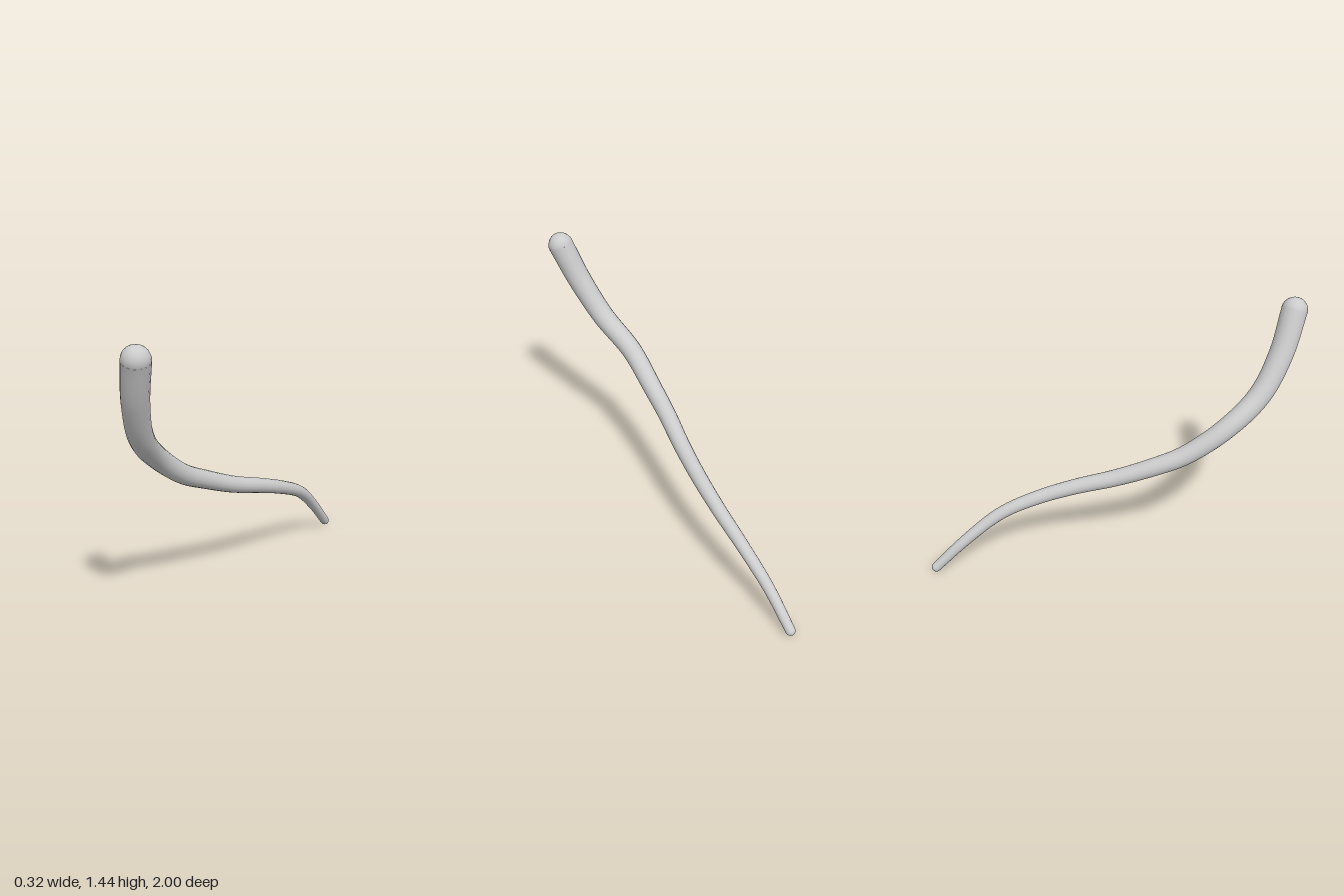
import * as THREE from 'three';

const SIDES = 16;
const TAIL_RADIUS = 0.026;
const HEAD_RADIUS = 0.067;

export function createModel() {
  const model = new THREE.Group();
  model.name = 'taperedTendril';
  const material = new THREE.MeshStandardMaterial({ color: 0xcccccc });

  // Centre line, from the thin low end to the thick raised end
  const path = new THREE.CatmullRomCurve3([
    [0, 0.028, -0.974], [0.008, 0.19, -0.8], [0.025, 0.335, -0.6], [0.02, 0.42, -0.4],
    [-0.003, 0.485, -0.2], [-0.04, 0.543, 0], [-0.08, 0.62, 0.2], [-0.1, 0.69, 0.36],
    [-0.1, 0.83, 0.565], [-0.04, 0.98, 0.75], [0.028, 1.175, 0.865], [0.093, 1.378, 0.932],
  ].map((p) => new THREE.Vector3(...p)));

  // Tube whose rings widen steadily along the path
  const segments = 64;
  const tube = new THREE.TubeGeometry(path, segments, 1, SIDES);
  const pos = tube.attributes.position;
  const v = new THREE.Vector3();
  for (let i = 0; i <= segments; i++) {
    const u = i / segments;
    const centre = path.getPointAt(u);
    const radius = THREE.MathUtils.lerp(TAIL_RADIUS, HEAD_RADIUS, u);
    for (let j = 0; j <= SIDES; j++) {
      const k = i * (SIDES + 1) + j;
      v.fromBufferAttribute(pos, k).sub(centre).multiplyScalar(radius).add(centre);
      pos.setXYZ(k, v.x, v.y, v.z);
    }
  }
  const body = new THREE.Mesh(tube, material);
  body.name = 'body';
  model.add(body);

  // Rounded ends
  function addCap(name, u, radius, direction) {
    const geometry = new THREE.SphereGeometry(radius, SIDES, 6, 0, Math.PI * 2, 0, Math.PI / 2);
    const cap = new THREE.Mesh(geometry, material);
    cap.name = name;
    cap.position.copy(path.getPointAt(u));
    const axis = path.getTangentAt(u).multiplyScalar(direction);
    cap.quaternion.setFromUnitVectors(new THREE.Vector3(0, 1, 0), axis);
    model.add(cap);
  }
  addCap('thinEnd', 0, TAIL_RADIUS, -1);
  addCap('thickEnd', 1, HEAD_RADIUS, 1);

  return model;
}
